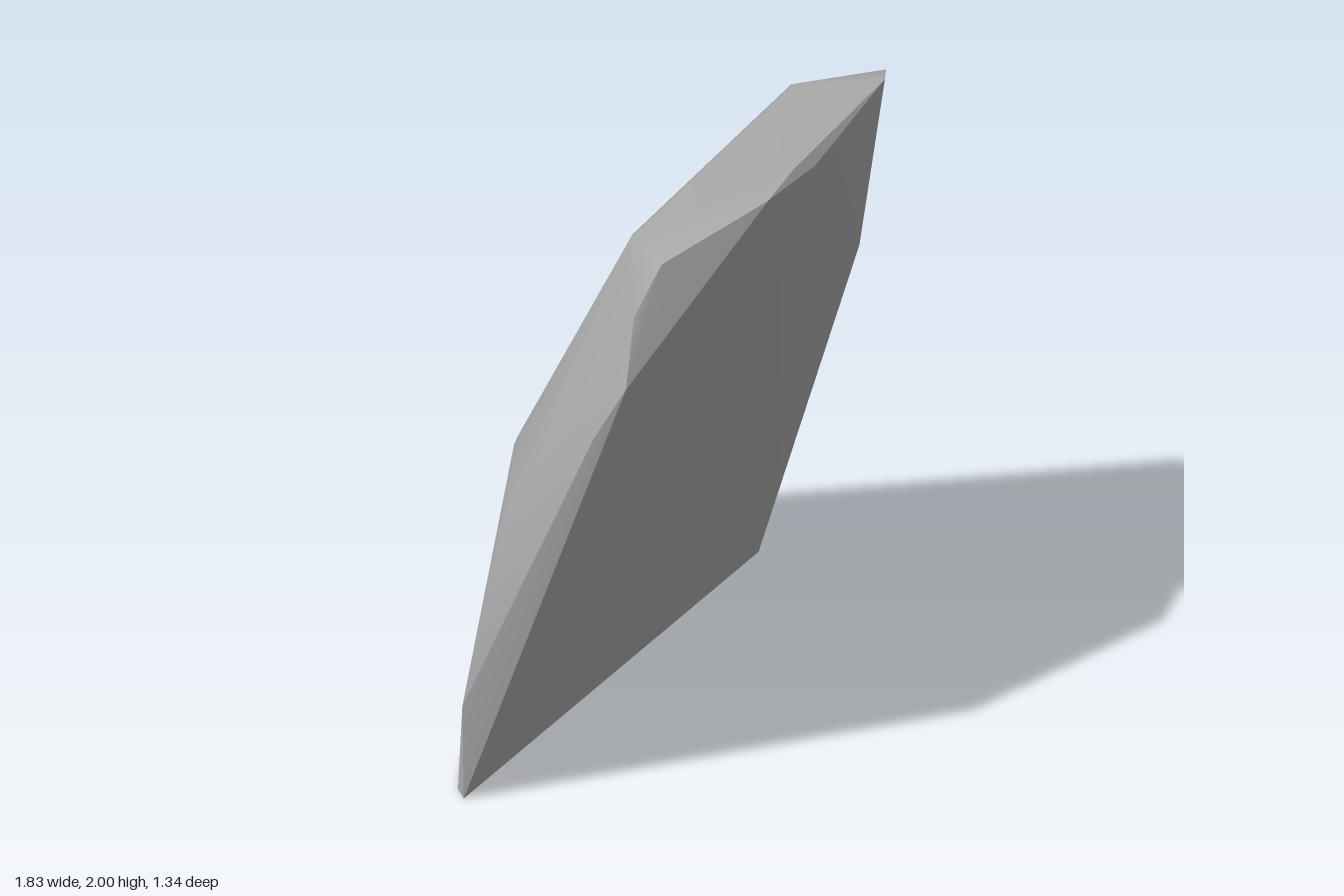
import * as THREE from 'three';
import { ConvexGeometry } from 'three/addons/geometries/ConvexGeometry.js';

// Area-weighted normals, split where faces meet above the crease angle
function creaseNormals(geometry, angle) {
  const pos = geometry.attributes.position;
  const faces = [], corners = new Map();
  const key = i => [pos.getX(i), pos.getY(i), pos.getZ(i)].map(v => Math.round(v * 1e4)).join();
  const p = [0, 1, 2].map(() => new THREE.Vector3());
  for (let i = 0; i < pos.count; i += 3) {
    p.forEach((v, k) => v.fromBufferAttribute(pos, i + k));
    const area = p[1].clone().sub(p[0]).cross(p[2].clone().sub(p[0]));
    const face = { area, unit: area.clone().normalize() };
    faces.push(face);
    for (let k = 0; k < 3; k++) {
      const id = key(i + k);
      if (!corners.has(id)) corners.set(id, []);
      corners.get(id).push(face);
    }
  }
  const normals = new Float32Array(pos.count * 3), limit = Math.cos(angle);
  for (let i = 0; i < pos.count; i++) {
    const own = faces[Math.floor(i / 3)], n = new THREE.Vector3();
    for (const f of corners.get(key(i))) if (f.unit.dot(own.unit) > limit) n.add(f.area);
    n.normalize().toArray(normals, i * 3);
  }
  geometry.setAttribute('normal', new THREE.BufferAttribute(normals, 3));
  return geometry;
}

export function createModel() {
  const stone = new THREE.MeshStandardMaterial({ color: 0xa6a6a6 });
  stone.name = 'grey stone';

  // Sharp corners: base outline, front face and its upper rim
  const sharp = [
    [-0.92, 0, 0.15], [-0.9, 0, 0.1], [-0.79, 0, 0], [-0.43, 0, -0.25],
    [0.62, 0, -0.67], [0.8, 0, -0.2],
    [-0.92, 0.36, 0.16], [0.62, 0.34, -0.67],
    [-0.68, 1.57, 0.64], [-0.14, 1.99, 0.67], [0.17, 1.97, 0.57], [0.05, 2, 0.59],
    [0.8, 1.975, 0.29], [0.91, 1.95, 0.2], [0.91, 1.3, 0.12],
    [-0.73, 1.4, 0.56], [-0.6, 1.75, 0.59], [-0.49, 1.88, 0.59],
  ];

  // Worn corners: ridges of the back and the sloping cap
  const worn = [
    [0.33, 0.62, -0.61], [-0.11, 0.61, -0.44], [0.74, 0.55, -0.47],
    [-0.55, 1.08, 0.02], [-0.74, 1.0, 0.2],
    [0.74, 1.88, -0.02], [-0.42, 1.87, 0.41], [0.9, 1.85, 0.08],
  ];

  const points = sharp.map(c => new THREE.Vector3(...c));
  const radius = 0.025;
  const ball = new THREE.IcosahedronGeometry(radius).attributes.position;
  for (const c of worn) {
    // Pull each worn corner inward, then round it with a small ball
    const v = new THREE.Vector3(...c);
    const y = THREE.MathUtils.clamp(v.y, 0.7, 1.6);
    const inward = new THREE.Vector3(0.05, y, -0.2 + 0.26 * y).sub(v).setLength(radius);
    v.add(inward);
    const seen = new Set();
    for (let i = 0; i < ball.count; i++) {
      const o = new THREE.Vector3().fromBufferAttribute(ball, i);
      const id = o.toArray().map(n => n.toFixed(4)).join();
      if (seen.has(id)) continue;
      seen.add(id);
      points.push(o.add(v));
    }
  }

  const slab = new THREE.Mesh(creaseNormals(new ConvexGeometry(points), 0.75), stone);
  slab.name = 'leaningRockSlab';

  const group = new THREE.Group();
  group.name = 'rock';
  group.add(slab);
  return group;
}
